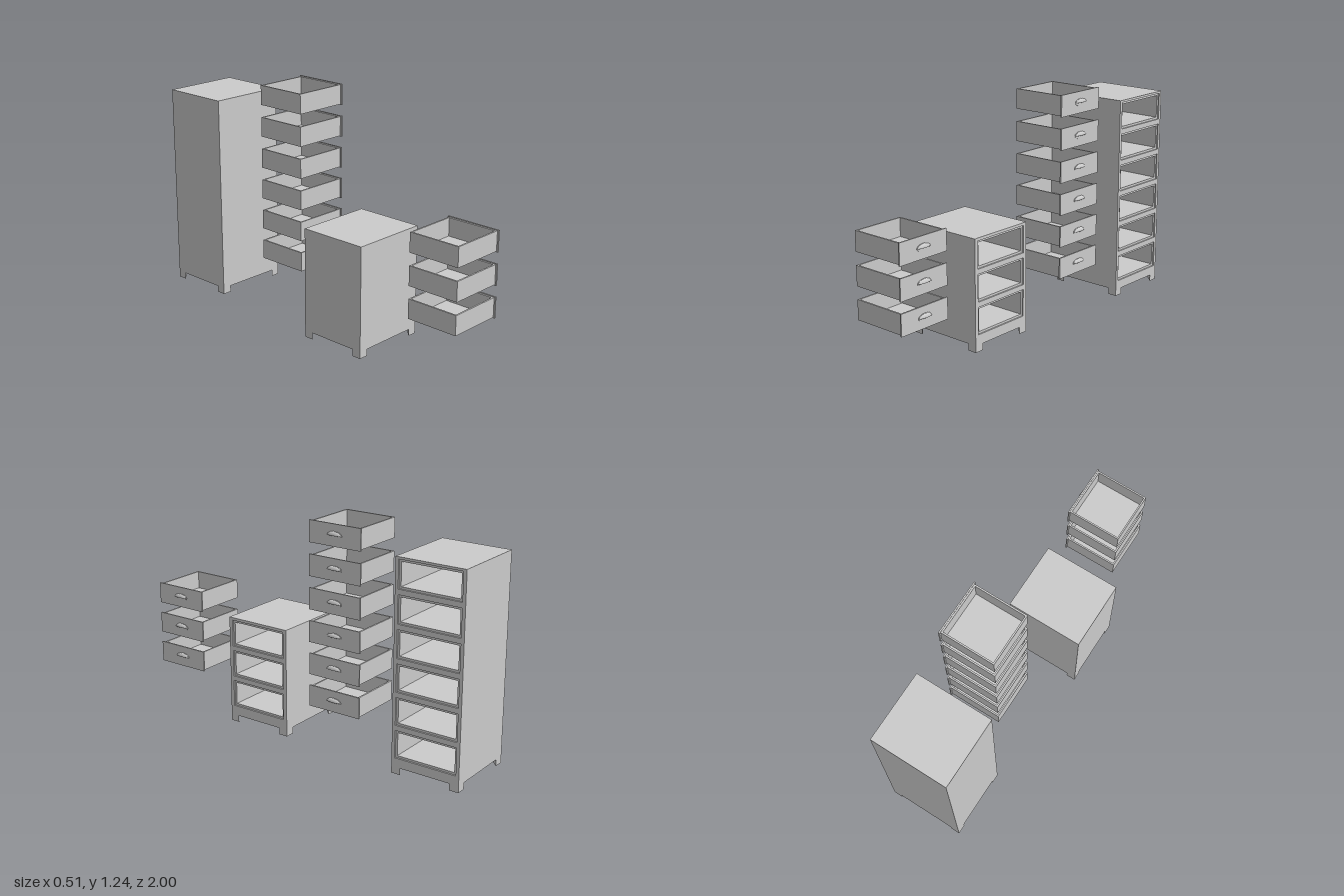
import * as THREE from 'three';

const mat = new THREE.MeshStandardMaterial({ color: 0xcccccc, flatShading: true });
const thinMat = new THREE.MeshStandardMaterial({ color: 0xcccccc, side: THREE.DoubleSide });

function add(parent, name, geometry, x = 0, y = 0, z = 0, material = mat) {
  const mesh = new THREE.Mesh(geometry, material);
  mesh.name = name;
  mesh.position.set(x, y, z);
  parent.add(mesh);
  return mesh;
}

// Traces a rectangle centred on x = 0 between two heights
function rect(path, w, y0, y1) {
  path.moveTo(-w / 2, y0);
  path.lineTo(w / 2, y0);
  path.lineTo(w / 2, y1);
  path.lineTo(-w / 2, y1);
  path.closePath();
  return path;
}

const extrude = (shape, depth) => new THREE.ExtrudeGeometry(shape, { depth, bevelEnabled: false });

// Slab with a row of drawer openings
function slab(w, y0, y1, openings, openW, inset, depth) {
  const shape = rect(new THREE.Shape(), w, y0, y1);
  for (const [a, b] of openings)
    shape.holes.push(rect(new THREE.Path(), openW - 2 * inset, a + inset, b - inset));
  return extrude(shape, depth);
}

// Cabinet, built facing +z with its depth centred on z = 0
function cabinet({ name, w, d, floor, bottom, top, first, count, pitch, openW }) {
  const g = new THREE.Group();
  g.name = name;
  const openings = Array.from({ length: count }, (_, i) => [first + i * pitch, first + i * pitch + 0.148]);
  const rim = 0.008, back = 0.015;
  add(g, 'backPanel', new THREE.BoxGeometry(w, top - bottom, back), 0, (top + bottom) / 2, -d / 2 + back / 2);
  add(g, 'compartments', slab(w, bottom, top, openings, openW, 0.012, d - rim - back), 0, 0, -d / 2 + back);
  add(g, 'frontFrame', slab(w, bottom, top, openings, openW, 0, rim), 0, 0, d / 2 - rim);

  // Three-sided corner feet
  const leg = 0.052;
  for (const sx of [-1, 1]) for (const sz of [-1, 1]) {
    const foot = new THREE.Shape([
      new THREE.Vector2(sx * w / 2, -sz * d / 2),
      new THREE.Vector2(sx * (w / 2 - leg), -sz * d / 2),
      new THREE.Vector2(sx * w / 2, -sz * (d / 2 - leg)),
    ]);
    add(g, 'foot', extrude(foot, bottom - floor).rotateX(-Math.PI / 2), 0, floor);
  }
  return g;
}

// Open drawer, front face of the panel at z = 0, bottom of the panel at y = 0
function drawer() {
  const g = new THREE.Group();
  g.name = 'drawer';
  const w = 0.296, d = 0.304, t = 0.009, panel = 0.008;
  const walls = rect(new THREE.Shape(), w, 0, d);
  walls.holes.push(rect(new THREE.Path(), w - 2 * t, t, d - t));
  add(g, 'drawerWalls', extrude(walls, 0.107).rotateX(-Math.PI / 2), 0, 0.004, -panel);
  add(g, 'drawerBottom', new THREE.BoxGeometry(w - 2 * t, t, d - 2 * t), 0, 0.004 + t / 2, -panel - d / 2);
  add(g, 'drawerFront', new THREE.BoxGeometry(0.312, 0.115, panel), 0, 0.0575, -panel / 2);

  // Oval plate with a cup pull open underneath
  const plate = new THREE.CylinderGeometry(1, 1, 0.003, 24).rotateX(Math.PI / 2).scale(0.045, 0.02, 1);
  add(g, 'handlePlate', plate, 0, 0.058, 0.0015);
  const cup = new THREE.SphereGeometry(1, 20, 8, 0, Math.PI, 0, Math.PI / 2).scale(0.042, 0.019, 0.012);
  add(g, 'handleCup', cup, 0, 0.058, 0.002, thinMat);
  const lip = new THREE.TorusGeometry(1, 0.08, 6, 16, Math.PI).rotateX(Math.PI / 2).scale(0.041, 0.015, 0.011);
  add(g, 'handleLip', lip, 0, 0.058, 0.002, thinMat);
  return g;
}

function drawerStack(name, count, x, z, first) {
  const g = new THREE.Group();
  g.name = name;
  for (let i = 0; i < count; i++) {
    const item = drawer();
    item.position.set(x, first + i * 0.1752, z);
    item.rotation.y = Math.PI / 2;
    g.add(item);
  }
  return g;
}

export function createModel() {
  const model = new THREE.Group();
  model.name = 'drawerCabinets';

  const tall = cabinet({
    name: 'tallCabinet', w: 0.388, d: 0.43, floor: 0.014, bottom: 0.05, top: 1.14,
    first: 0.1, count: 6, pitch: 0.176, openW: 0.352,
  });
  tall.position.set(0.025, 0, -0.805);
  const low = cabinet({
    name: 'lowCabinet', w: 0.388, d: 0.433, floor: 0, bottom: 0.037, top: 0.605,
    first: 0.092, count: 3, pitch: 0.175, openW: 0.346,
  });
  low.position.set(-0.039, 0, 0.296);
  for (const c of [tall, low]) c.rotation.y = Math.PI / 2;

  model.add(tall, low,
    drawerStack('tallCabinetDrawers', 6, 0.242, -0.256, 0.253),
    drawerStack('lowCabinetDrawers', 3, 0.178, 0.844, 0.243));
  return model;
}
